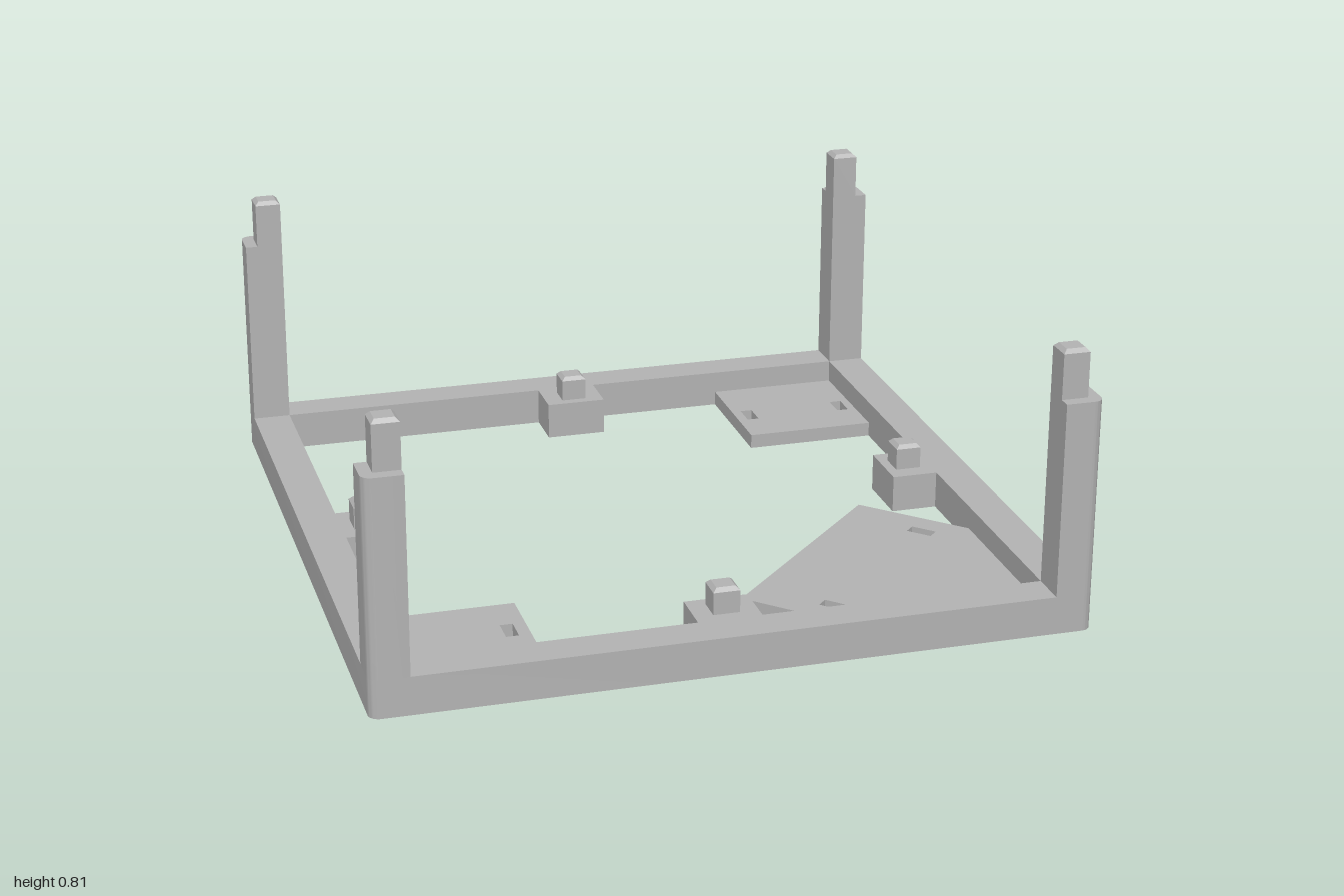
import * as THREE from 'three';
import { toCreasedNormals } from 'three/addons/utils/BufferGeometryUtils.js';

const INNER = 0.89, RAIL_H = 0.11, POST_H = 0.67, PEG = 0.075, PLATE_H = 0.043, R = 0.03;

export function createModel() {
  const model = new THREE.Group();
  model.name = 'cornerPostFrame';
  const grey = new THREE.MeshStandardMaterial({ color: 0xb3b3b3 });
  grey.name = 'grey';

  const add = (name, geometry, parent = model) => {
    const mesh = new THREE.Mesh(geometry, grey);
    mesh.name = name;
    parent.add(mesh);
    return mesh;
  };

  // Extrude a plan outline (x, z) upward from y0 to y1
  const slab = (shape, y0, y1) => {
    const g = new THREE.ExtrudeGeometry(shape, { depth: y1 - y0, bevelEnabled: false, curveSegments: 6 });
    g.rotateX(Math.PI / 2).translate(0, y1, 0);
    return toCreasedNormals(g, 0.6);
  };
  const outline = (pts) => new THREE.Shape(pts.map(([x, z]) => new THREE.Vector2(x, z)));

  // Rectangular slot, turned by an angle in plan
  const slot = (cx, cz, w, d, angle = 0) => {
    const c = Math.cos(angle), s = Math.sin(angle);
    return new THREE.Path([[-1, -1], [-1, 1], [1, 1], [1, -1]].map(([i, j]) => {
      const a = i * w / 2, b = j * d / 2;
      return new THREE.Vector2(cx + a * c - b * s, cz + a * s + b * c);
    }));
  };

  // Square peg with a chamfered top
  const peg = (x, z, y0, y1) => {
    const h = PEG / 2, c = 0.011;
    const g = new THREE.ExtrudeGeometry(
      outline([[-h + c, -h + c], [h - c, -h + c], [h - c, h - c], [-h + c, h - c]]),
      { depth: y1 - y0 - c, bevelEnabled: true, bevelSegments: 1, bevelSize: c, bevelThickness: c });
    g.rotateX(-Math.PI / 2).translate(x, y0, z);
    return toCreasedNormals(g, 0.3);
  };

  // Base frame with rounded outer corners
  const base = new THREE.Shape();
  base.moveTo(1, 1 - R);
  [[1, 1], [-1, 1], [-1, -1], [1, -1]].forEach(([x, z], i) => {
    const alongZ = i % 2 === 0;
    const from = alongZ ? [x, z - z * R] : [x - x * R, z];
    base.lineTo(...from);
    base.absarc(x - x * R, z - z * R, R, i * Math.PI / 2, (i + 1) * Math.PI / 2, false);
  });
  base.closePath();
  base.holes.push(slot(0, 0, 2 * INNER, 2 * INNER));
  add('baseFrame', slab(base, 0, RAIL_H));

  // Post outline, rounded on its outer corner only
  const post = new THREE.Shape();
  post.moveTo(INNER, INNER);
  post.lineTo(1, INNER);
  post.lineTo(1, 1 - R);
  post.absarc(1 - R, 1 - R, R, 0, Math.PI / 2, false);
  post.lineTo(INNER, 1);
  post.closePath();
  const postGeo = slab(post, RAIL_H, POST_H);
  const postPeg = peg(INNER + PEG / 2, INNER + PEG / 2, POST_H, 0.81);
  const tabGeo = new THREE.BoxGeometry(0.18, RAIL_H, 0.135).translate(0, RAIL_H / 2, 0.8225);
  const tabPeg = peg(0, 0.82, RAIL_H, 0.185);

  // Four sides: a corner post and a middle tab, each with its peg
  for (let i = 0; i < 4; i++) {
    const side = new THREE.Group();
    side.name = 'side' + (i + 1);
    side.rotation.y = i * Math.PI / 2;
    add('cornerPost', postGeo, side);
    add('postPeg', postPeg, side);
    add('middleTab', tabGeo, side);
    add('tabPeg', tabPeg, side);
    model.add(side);
  }

  // Two square mounting plates in opposite corners
  const squarePlate = (name, x0, x1, z0, z1, slotXs, slotZ) => {
    const s = outline([[x0, z0], [x1, z0], [x1, z1], [x0, z1]]);
    slotXs.forEach((x) => s.holes.push(slot(x, slotZ, 0.036, 0.075)));
    add(name, slab(s, 0, PLATE_H));
  };
  squarePlate('backLeftPlate', 0.5, INNER, -INNER, -0.5, [0.547, 0.847], -0.667);
  squarePlate('frontRightPlate', -INNER, -0.5, 0.5, INNER, [-0.853, -0.553], 0.665);

  // Diagonal plate across the front left corner
  const diagonal = outline([[0.64, 0.11], [INNER, 0.36], [INNER, 0.79], [0.79, INNER], [0.36, INNER], [0.11, 0.64]]);
  diagonal.holes.push(slot(0.75, 0.343, 0.075, 0.036, Math.PI / 4), slot(0.343, 0.75, 0.075, 0.036, Math.PI / 4));
  add('diagonalPlate', slab(diagonal, 0, PLATE_H));

  return model;
}
